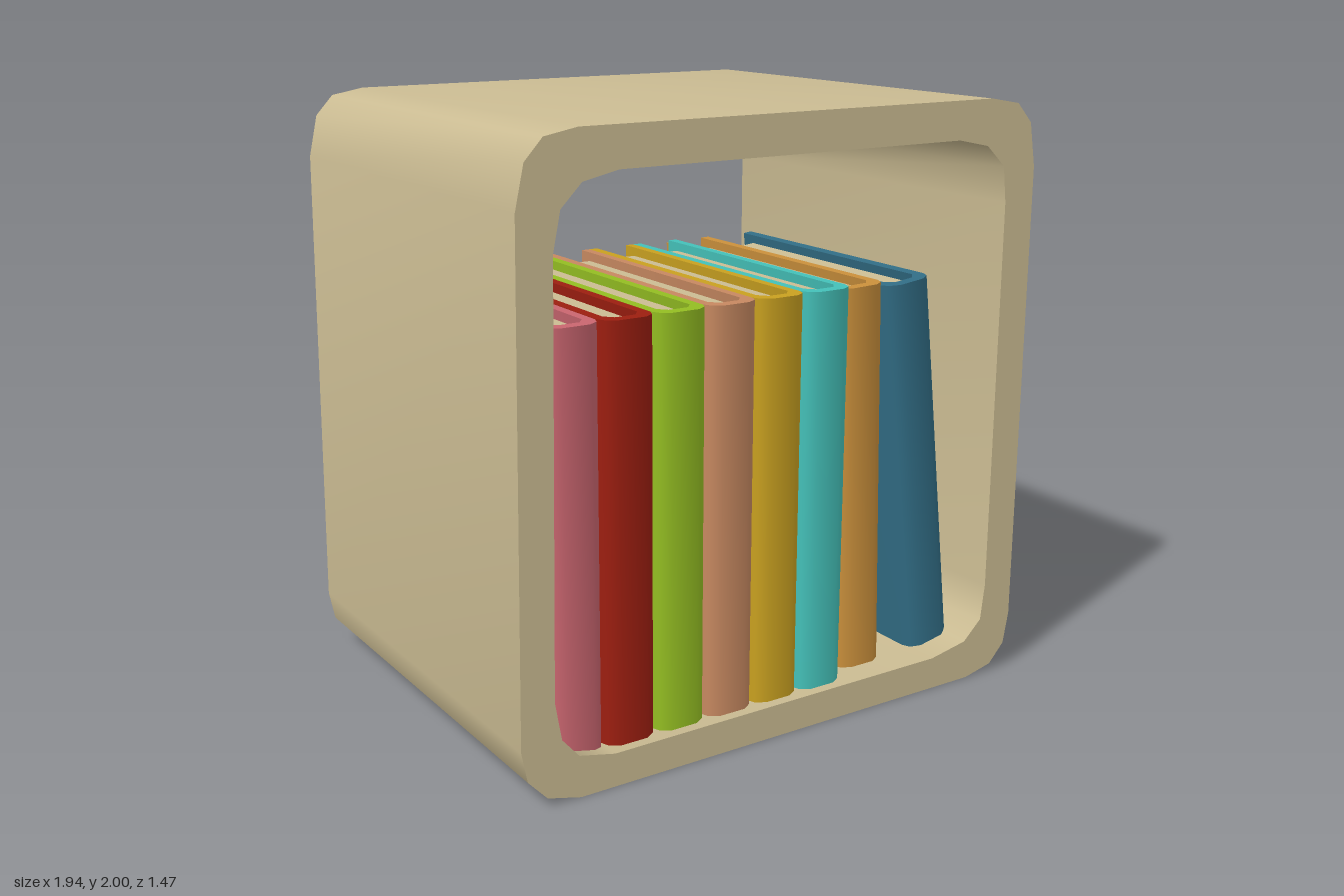
import * as THREE from 'three';
import { toCreasedNormals } from 'three/addons/utils/BufferGeometryUtils.js';

const mat = (name, color) => new THREE.MeshStandardMaterial({ name, color });
const toPoints = (list) => list.map(([x, y]) => new THREE.Vector2(x, y));

// Rounded, slightly uneven square tube, open at front and back
function frameGeometry(depth) {
  const shape = new THREE.Shape(toPoints([
    [-0.77, 0], [0.78, 0], [0.89, 0.025], [0.95, 0.09], [0.97, 0.2], [0.97, 1.77], [0.945, 1.915], [0.885, 1.98],
    [0.77, 2], [-0.75, 2], [-0.86, 1.98], [-0.92, 1.915], [-0.95, 1.78], [-0.97, 0.2], [-0.95, 0.1], [-0.885, 0.03],
  ]));
  shape.holes.push(new THREE.Path(toPoints([
    [-0.65, 0.11], [-0.775, 0.138], [-0.833, 0.205], [-0.855, 0.33], [-0.835, 1.66], [-0.81, 1.78], [-0.74, 1.85],
    [-0.62, 1.875], [0.64, 1.875], [0.76, 1.85], [0.835, 1.78], [0.85, 1.66], [0.85, 0.33], [0.835, 0.205],
    [0.765, 0.138], [0.62, 0.11],
  ])));
  const geo = new THREE.ExtrudeGeometry(shape, { depth, bevelEnabled: false });
  geo.translate(0, 0, -depth / 2);
  return toCreasedNormals(geo, 0.7);
}

// U-shaped cover with a rounded spine at +z; the origin is its lower left corner
function coverGeometry(width, height, depth, board) {
  const h = width / 2, i = h - board;
  const half = [[h, depth], [h, 0.05], [h - 0.012, 0.02], [h - 0.045, 0]];
  const inner = [[i, depth], [i, 0.07], [i - 0.025, 0.04]];
  const mirror = (pts) => pts.map(([x, y]) => [-x, y]);
  const outline = [...half, ...mirror(half).reverse(), ...mirror(inner), ...inner.slice().reverse()];
  const geo = new THREE.ExtrudeGeometry(new THREE.Shape(toPoints(outline)), { depth: height, bevelEnabled: false });
  geo.rotateX(-Math.PI / 2);
  geo.translate(h, 0, 0);
  return toCreasedNormals(geo, 0.9);
}

export function createModel() {
  const model = new THREE.Group();
  model.name = 'bookCube';
  const cream = mat('cream', 0xcabb92);

  const frame = new THREE.Mesh(frameGeometry(1.47), cream);
  frame.name = 'frame';
  model.add(frame);

  const width = 0.183, height = 1.33, depth = 1.02, board = 0.032;
  const cover = coverGeometry(width, height, depth, board);
  // Page block sits inside the cover, recessed on three sides
  const pageDepth = depth - 0.09;
  const pages = new THREE.BoxGeometry(width - 2 * board + 0.002, height - 0.06, pageDepth);
  pages.translate(width / 2, height / 2, -0.035 - pageDepth / 2);

  // name, colour, lower left x, y, spine z, lean in degrees
  const books = [
    ['pink', 0xc9656f, -0.838, 0.11, 0.7, 0],
    ['red', 0x9c1e10, -0.651, 0.11, 0.7, 0],
    ['green', 0x93bd22, -0.467, 0.11, 0.7, 0],
    ['tan', 0xc68860, -0.284, 0.11, 0.7, 0],
    ['yellow', 0xc8a020, -0.103, 0.11, 0.7, 0],
    ['teal', 0x44c0b8, 0.078, 0.11, 0.7, 0],
    ['orange', 0xc98f3b, 0.297, 0.09, 0.64, 1.6],
    ['blue', 0x316c84, 0.611, 0.084, 0.64, 6.7],
  ];
  for (const [name, color, x, y, z, lean] of books) {
    const book = new THREE.Group();
    book.name = name + 'Book';
    const coverMesh = new THREE.Mesh(cover, mat(name, color));
    coverMesh.name = name + 'Cover';
    const pageMesh = new THREE.Mesh(pages, cream);
    pageMesh.name = name + 'Pages';
    book.add(coverMesh, pageMesh);
    book.position.set(x, y, z);
    book.rotation.z = THREE.MathUtils.degToRad(lean);
    model.add(book);
  }
  return model;
}
